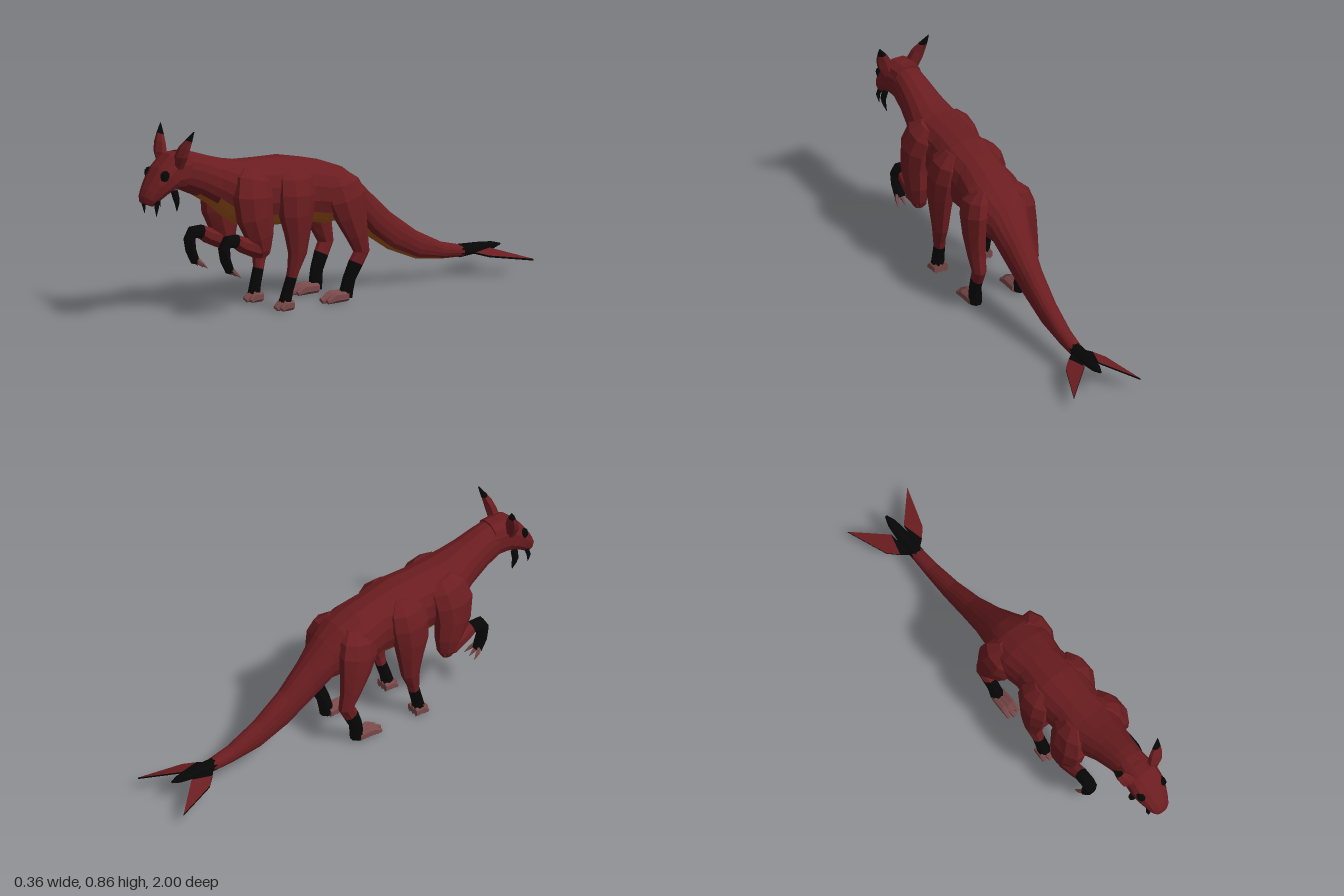
import * as THREE from 'three';

const paint = (name, color) => {
  const m = new THREE.MeshStandardMaterial({ color, side: THREE.DoubleSide });
  m.name = name;
  return m;
};

// Collects triangles by material index into one faceted geometry with groups
function facets(bins) {
  const pos = [], geo = new THREE.BufferGeometry();
  bins.forEach((tris, m) => {
    if (!tris.length) return;
    geo.addGroup(pos.length / 3, tris.length, m);
    tris.forEach(p => pos.push(p.x, p.y, p.z));
  });
  geo.setAttribute('position', new THREE.Float32BufferAttribute(pos, 3));
  geo.computeVertexNormals();
  return geo;
}

// Skins rings [x, y, z, halfWidth, halfDepth]; pick(i, j) chooses the material of a face
function loft(rows, { n = 8, pick = () => 0, tangent = null, power = 1 } = {}) {
  const centers = rows.map(r => new THREE.Vector3(r[0], r[1], r[2]));
  const X = new THREE.Vector3(1, 0, 0);
  const soft = v => Math.sign(v) * Math.abs(v) ** power;
  const rings = rows.map((r, i) => {
    const t = tangent || centers[Math.min(i + 1, rows.length - 1)].clone().sub(centers[Math.max(i - 1, 0)]);
    const U = new THREE.Vector3().crossVectors(t, X).normalize();
    return Array.from({ length: n }, (_, j) => {
      const a = (j + 0.5) / n * Math.PI * 2;
      return centers[i].clone().addScaledVector(X, soft(Math.cos(a)) * r[3]).addScaledVector(U, soft(Math.sin(a)) * r[4]);
    });
  });
  const bins = [[], []], last = rows.length - 1;
  for (let j = 0; j < n; j++) {
    const k = (j + 1) % n;
    for (let i = 0; i < last; i++) {
      const [a, b, c, d] = [rings[i][j], rings[i][k], rings[i + 1][k], rings[i + 1][j]];
      bins[pick(i, j)].push(a, b, c, a, c, d);
    }
    bins[pick(0, j)].push(centers[0], rings[0][k], rings[0][j]);
    bins[pick(last - 1, j)].push(centers[last], rings[last][j], rings[last][k]);
  }
  return facets(bins);
}

// Mirrors a faceted geometry across x and restores its winding
function mirrored(geo) {
  const g = geo.clone(), p = g.attributes.position;
  for (let i = 0; i < p.count; i += 3) {
    const v = [0, 2, 1].map(k => new THREE.Vector3().fromBufferAttribute(geo.attributes.position, i + k));
    v.forEach((q, k) => p.setXYZ(i + k, -q.x, q.y, q.z));
  }
  g.computeVertexNormals();
  return g;
}

// Thin tail fin: red blade, black root and rim
function finGeometry() {
  const outline = [[0.02, 0.113, -0.73], [0.06, 0.104, -0.765], [0.1, 0.091, -0.81], [0.165, 0.063, -1], [0.035, 0.109, -0.86]];
  const layer = dy => outline.map(([x, y, z]) => new THREE.Vector3(x, y + dy, z));
  const top = layer(0.004), low = layer(-0.004), bins = [[], []];
  [[1, 2, 4, 0], [2, 3, 4, 0], [0, 1, 4, 1]].forEach(([a, b, c, m]) =>
    bins[m].push(top[a], top[b], top[c], low[a], low[c], low[b]));
  outline.forEach((_, i) => {
    const k = (i + 1) % outline.length;
    bins[1].push(low[i], low[k], top[k], low[i], top[k], top[i]);
  });
  return facets(bins);
}

export function createModel() {
  const model = new THREE.Group();
  model.name = 'sixLeggedBeast';
  const red = paint('redHide', 0x6b1d20);
  const black = paint('black', 0x060606);
  const orange = paint('orangeBelly', 0xa4561c);
  const pink = paint('pinkHoof', 0x784848);

  const add = (name, geo, mats) => {
    const mesh = new THREE.Mesh(geo, mats);
    mesh.name = name;
    model.add(mesh);
  };
  const pair = (name, geo, mats) => {
    add(name + 'Left', geo, mats);
    add(name + 'Right', mirrored(geo), mats);
  };

  // Neck, trunk and tail: z, top, bottom, half width; orange underside widest on chest and belly
  const upright = new THREE.Vector3(0, 0, -1);
  const slice = ([z, top, bot, w]) => [0, (top + bot) / 2, z, w, (top - bot) / 2];
  const trunk = [
    [0.82, 0.76, 0.59, 0.068], [0.72, 0.74, 0.545, 0.078], [0.63, 0.71, 0.49, 0.092],
    [0.56, 0.69, 0.43, 0.112], [0.49, 0.675, 0.385, 0.132], [0.38, 0.67, 0.37, 0.122],
    [0.25, 0.665, 0.36, 0.138], [0.13, 0.64, 0.355, 0.122], [0.03, 0.615, 0.335, 0.138],
    [-0.06, 0.58, 0.345, 0.13], [-0.13, 0.53, 0.33, 0.095], [-0.22, 0.445, 0.245, 0.07],
    [-0.34, 0.335, 0.165, 0.052], [-0.48, 0.235, 0.108, 0.042], [-0.62, 0.165, 0.09, 0.034],
    [-0.73, 0.137, 0.085, 0.029],
  ].map(slice);
  const underside = (i, j) => {
    const reach = i < 1 ? -1 : i >= 2 && i < 10 ? 2 : 1;
    return Math.abs(j - 3) <= reach ? 1 : 0;
  };
  add('trunkAndTail', loft(trunk, { n: 16, tangent: upright, power: 0.9, pick: underside }), [red, orange]);
  add('tailTip', loft([
    [-0.715, 0.142, 0.082, 0.031], [-0.82, 0.137, 0.09, 0.03], [-0.9, 0.13, 0.098, 0.021], [-0.94, 0.118, 0.11, 0.006],
  ].map(slice), { tangent: upright }), [black]);
  pair('tailFin', finGeometry(), [red, black]);

  // Head and muzzle
  add('head', loft([
    [0, 0.672, 0.77, 0.069, 0.087], [0, 0.672, 0.85, 0.078, 0.085], [0, 0.645, 0.887, 0.078, 0.068],
    [0, 0.61, 0.927, 0.068, 0.052], [0, 0.58, 0.955, 0.055, 0.043], [0, 0.558, 0.971, 0.046, 0.036],
    [0, 0.54, 0.98, 0.033, 0.026],
  ], { n: 12, power: 0.8 }), [red]);

  // Ears with dark tips
  pair('ear', loft([
    [0.057, 0.69, 0.848, 0.024, 0.024], [0.075, 0.745, 0.847, 0.037, 0.026], [0.088, 0.785, 0.838, 0.033, 0.02],
    [0.102, 0.817, 0.826, 0.021, 0.014], [0.121, 0.86, 0.81, 0.002, 0.002],
  ], { n: 6, pick: i => (i === 3 ? 1 : 0) }), [red, black]);

  // Eyes
  const eye = new THREE.SphereGeometry(1, 8, 6).toNonIndexed();
  eye.scale(0.018, 0.026, 0.025).translate(0.058, 0.664, 0.919).computeVertexNormals();
  pair('eye', eye, black);

  // Curved fangs at the muzzle and jaw
  pair('frontFang', loft([
    [0.04, 0.56, 0.95, 0.01, 0.012], [0.047, 0.53, 0.957, 0.01, 0.01], [0.043, 0.49, 0.955, 0.001, 0.001],
  ], { n: 5 }), [black]);
  pair('jawFang', loft([
    [0.06, 0.595, 0.87, 0.014, 0.018], [0.07, 0.565, 0.868, 0.012, 0.017],
    [0.069, 0.54, 0.862, 0.009, 0.012], [0.06, 0.502, 0.857, 0.001, 0.001],
  ], { n: 5 }), [black]);

  // Raised front limbs: shoulder, then folded forearm with black paw
  pair('frontUpperLeg', loft([
    [0.075, 0.645, 0.465, 0.025, 0.045], [0.1, 0.605, 0.475, 0.048, 0.09], [0.121, 0.53, 0.49, 0.057, 0.1],
    [0.128, 0.44, 0.485, 0.056, 0.09], [0.131, 0.35, 0.46, 0.047, 0.068], [0.13, 0.29, 0.45, 0.037, 0.045],
    [0.13, 0.26, 0.45, 0.022, 0.025],
  ]), [red]);
  pair('forearm', loft([
    [0.13, 0.285, 0.42, 0.026, 0.025], [0.13, 0.3, 0.48, 0.036, 0.044], [0.128, 0.325, 0.55, 0.031, 0.037],
    [0.126, 0.345, 0.585, 0.03, 0.032], [0.126, 0.348, 0.635, 0.03, 0.028], [0.125, 0.32, 0.65, 0.031, 0.026],
    [0.125, 0.27, 0.643, 0.031, 0.022], [0.125, 0.215, 0.618, 0.027, 0.018],
  ], { pick: i => (i >= 3 ? 1 : 0) }), [red, black]);
  for (const [i, dx] of [-0.018, 0, 0.018].entries()) {
    pair('frontClaw' + (i + 1), loft([
      [0.124 + dx, 0.23, 0.622, 0.009, 0.011], [0.122 + dx * 1.5, 0.21, 0.605, 0.009, 0.01],
      [0.12 + dx * 2, 0.187, 0.58, 0.001, 0.001],
    ], { n: 5 }), [pink]);
  }

  // Middle and hind legs with black shanks
  pair('middleLeg', loft([
    [0.075, 0.63, 0.25, 0.025, 0.045], [0.105, 0.58, 0.25, 0.05, 0.088], [0.122, 0.51, 0.255, 0.056, 0.096],
    [0.128, 0.42, 0.26, 0.053, 0.085], [0.13, 0.34, 0.255, 0.044, 0.064], [0.13, 0.25, 0.255, 0.034, 0.045],
    [0.125, 0.18, 0.273, 0.027, 0.029], [0.12, 0.145, 0.28, 0.026, 0.025], [0.115, 0.08, 0.3, 0.028, 0.025],
    [0.112, 0.035, 0.31, 0.031, 0.028],
  ], { pick: i => (i >= 7 ? 1 : 0) }), [red, black]);
  pair('hindLeg', loft([
    [0.07, 0.57, 0, 0.025, 0.045], [0.1, 0.525, -0.005, 0.05, 0.088], [0.117, 0.46, -0.02, 0.053, 0.098],
    [0.125, 0.38, -0.04, 0.047, 0.08], [0.13, 0.29, -0.068, 0.038, 0.053], [0.13, 0.215, -0.092, 0.031, 0.038],
    [0.125, 0.165, -0.065, 0.028, 0.035], [0.118, 0.1, -0.035, 0.027, 0.03], [0.112, 0.05, -0.025, 0.03, 0.031],
    [0.11, 0.015, -0.022, 0.03, 0.03],
  ], { pick: i => (i >= 6 ? 1 : 0) }), [red, black]);

  // Toes: three broad hooves per standing foot
  for (const [foot, x, back, front] of [['middle', 0.111, 0.28, 0.355], ['hind', 0.108, -0.02, 0.105]]) {
    for (const [i, dx] of [-0.022, 0, 0.022].entries()) {
      const tip = front - Math.abs(dx) * 0.5, mid = back + (tip - back) * 0.6;
      pair(foot + 'Toe' + (i + 1), loft([
        [x + dx, 0.024, back, 0.013, 0.022], [x + dx, 0.026, mid, 0.015, 0.025], [x + dx * 1.1, 0.011, tip, 0.01, 0.01],
      ], { n: 6 }), [pink]);
    }
  }
  return model;
}
